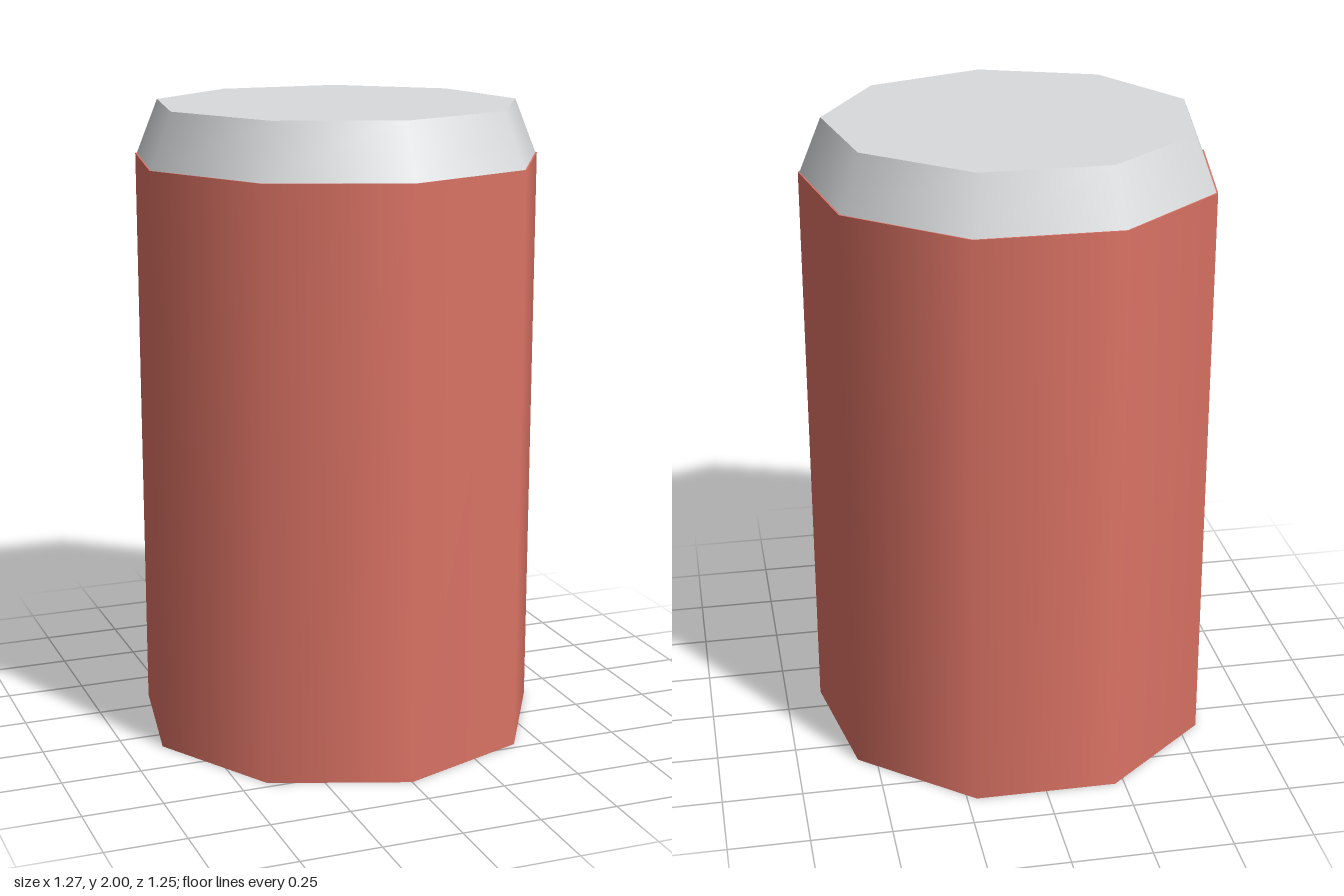
import * as THREE from 'three';

const SIDES = 9;

export function createModel() {
  const red = new THREE.MeshStandardMaterial({ color: 0xdc7365 });
  red.name = 'red';
  const silver = new THREE.MeshStandardMaterial({ color: 0xd9dbdd });
  silver.name = 'silver';

  const can = new THREE.Group();
  can.name = 'can';

  // One nine-sided section with a corner facing the front
  const section = (name, material, topRadius, bottomRadius, bottom, top) => {
    const geometry = new THREE.CylinderGeometry(topRadius, bottomRadius, top - bottom, SIDES);
    const mesh = new THREE.Mesh(geometry, material);
    mesh.name = name;
    mesh.position.set(0, (bottom + top) / 2, -0.0195);
    can.add(mesh);
  };

  // Straight painted body, then the tapered metal lid set just inside its rim
  section('body', red, 0.645, 0.645, 0, 1.83);
  section('lid', silver, 0.571, 0.64, 1.83, 2);

  return can;
}
